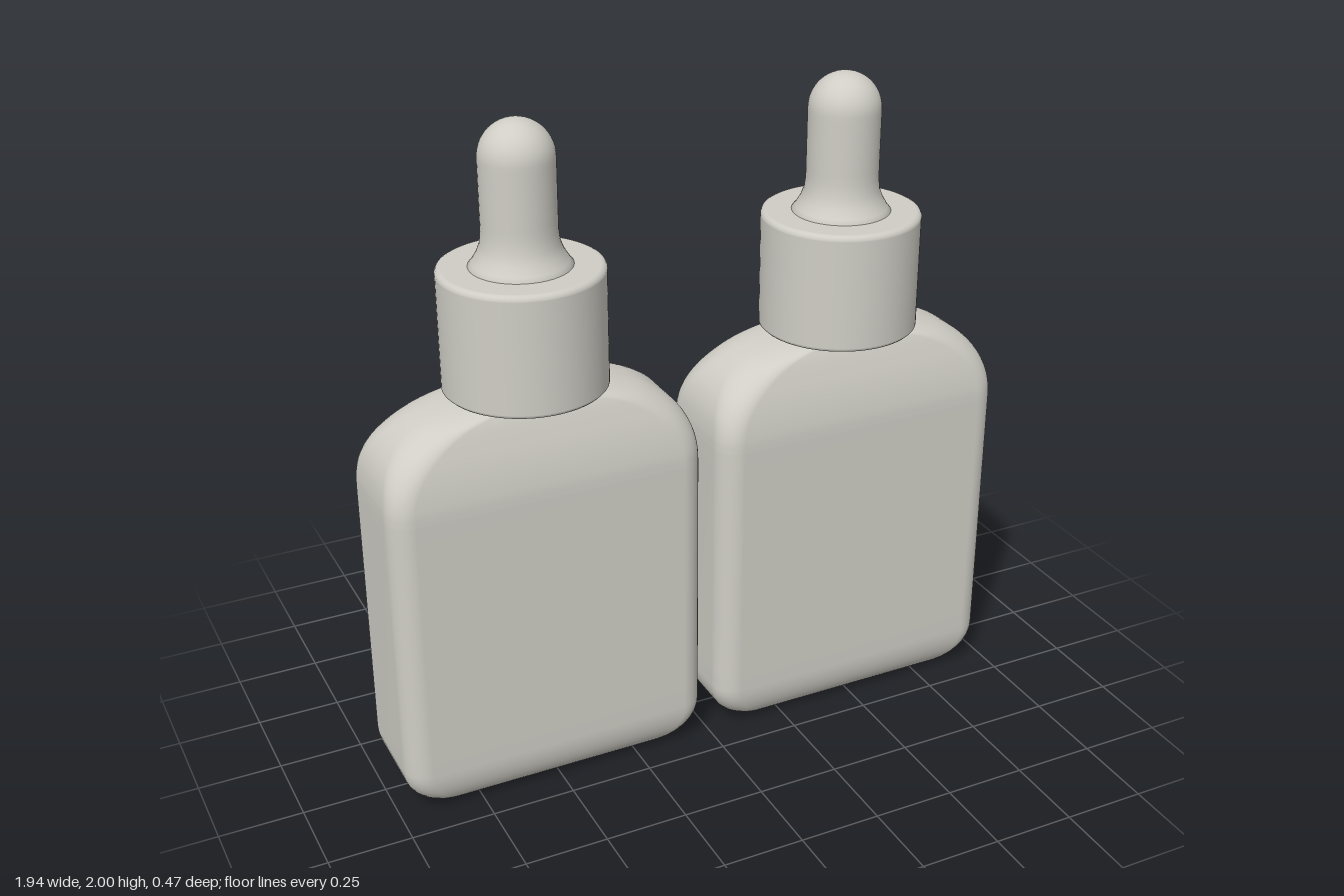
import * as THREE from 'three';

const grey = new THREE.MeshStandardMaterial({ color: 0xcfcdc5 });
grey.name = 'warm grey';

function part(name, geometry) {
  const mesh = new THREE.Mesh(geometry, grey);
  mesh.name = name;
  return mesh;
}

function lathe(points, segments = 64) {
  return new THREE.LatheGeometry(points.map(([r, y]) => new THREE.Vector2(r, y)), segments);
}

// Rounded-rectangle outline, wound so that lofted faces point outward
function outline(w, d, r, y) {
  const ring = [], steps = 10;
  for (let c = 0; c < 4; c++) {
    const sx = c === 0 || c === 3 ? 1 : -1, sz = c < 2 ? 1 : -1;
    for (let i = 0; i <= steps; i++) {
      const a = (c + i / steps) * Math.PI / 2;
      ring.push(sx * (w - r) + r * Math.cos(a), y, sz * (d - r) + r * Math.sin(a));
    }
  }
  return ring;
}

// Flat bottle lofted from base to shoulder
function bottleGeometry() {
  const sections = [];
  for (let i = 0; i <= 10; i++) {
    const a = i / 10 * Math.PI / 2;
    sections.push([0.332 + 0.14 * Math.sin(a), 0.107 + 0.08 * Math.sin(a), 0.14 * (1 - Math.cos(a))]);
  }
  sections.push([0.472, 0.187, 0.2], [0.472, 0.187, 0.9]);
  // Shoulder: half width, height, half depth
  const shoulder = new THREE.CatmullRomCurve3([
    [0.472, 0.96, 0.187], [0.47, 1.0, 0.185], [0.46, 1.055, 0.177], [0.438, 1.105, 0.166],
    [0.4, 1.15, 0.153], [0.34, 1.19, 0.14], [0.26, 1.216, 0.129], [0.18, 1.23, 0.122], [0.118, 1.236, 0.118],
  ].map(p => new THREE.Vector3(...p)));
  for (const p of shoulder.getPoints(40)) sections.push([p.x, p.z, p.y]);

  const positions = [], index = [];
  for (const [w, d, y] of sections) {
    const t = THREE.MathUtils.smoothstep(y, 1.0, 1.236);
    const r = Math.min(0.07 + 0.047 * t, d - 0.0005, w - 0.0005);
    positions.push(...outline(w, d, r, y));
  }
  const n = positions.length / 3 / sections.length;
  for (let s = 0; s < sections.length - 1; s++) {
    for (let i = 0; i < n; i++) {
      const a = s * n + i, b = s * n + (i + 1) % n;
      index.push(a, a + n, b, b, a + n, b + n);
    }
  }
  // Flat underside
  const centre = positions.length / 3;
  positions.push(0, 0, 0);
  for (let i = 0; i < n; i++) index.push(centre, i, (i + 1) % n);

  const geometry = new THREE.BufferGeometry();
  geometry.setAttribute('position', new THREE.Float32BufferAttribute(positions, 3));
  geometry.setIndex(index);
  geometry.computeVertexNormals();
  return geometry;
}

function bulbGeometry() {
  const points = [[0.145, 1.57], [0.145, 1.59], [0.135, 1.603], [0.12, 1.628], [0.11, 1.655], [0.106, 1.69], [0.106, 1.72], [0.106, 1.88]];
  for (let i = 0; i <= 14; i++) {
    const a = i / 14 * Math.PI / 2;
    points.push([Math.max(0, 0.106 * Math.cos(a)), 1.894 + 0.106 * Math.sin(a)]);
  }
  return lathe(points, 48);
}

export function createModel() {
  const model = new THREE.Group();
  model.name = 'dropperBottles';

  const body = bottleGeometry();
  const bulb = bulbGeometry();
  // Hollow screw cap with softened rims
  const cap = lathe([
    [0, 1.555], [0.195, 1.555], [0.2, 1.55], [0.2, 1.545], [0.2, 1.245], [0.2, 1.24], [0.204, 1.235],
    [0.208, 1.235], [0.226, 1.235], [0.23, 1.236], [0.235, 1.241], [0.235, 1.246],
    [0.235, 1.573], [0.235, 1.578], [0.231, 1.586], [0.223, 1.59], [0.218, 1.59], [0.12, 1.59],
  ], 72);
  const neck = lathe([[0.118, 1.23], [0.118, 1.26], [0.122, 1.27], [0.15, 1.28], [0.15, 1.3],
    [0.15, 1.53], [0.146, 1.535], [0, 1.535]], 48);
  const thread = new THREE.TorusGeometry(0.152, 0.018, 10, 48).rotateX(Math.PI / 2);

  for (const [name, x] of [['leftBottle', 0.4975], ['rightBottle', -0.5025]]) {
    const bottle = new THREE.Group();
    bottle.name = name;
    bottle.position.x = x;
    bottle.add(part('body', body), part('neck', neck), part('cap', cap), part('dropperBulb', bulb));
    // Screw threads on the neck
    for (const y of [1.33, 1.4, 1.47]) {
      const ridge = part('neckThread', thread);
      ridge.position.y = y;
      bottle.add(ridge);
    }
    model.add(bottle);
  }
  return model;
}
